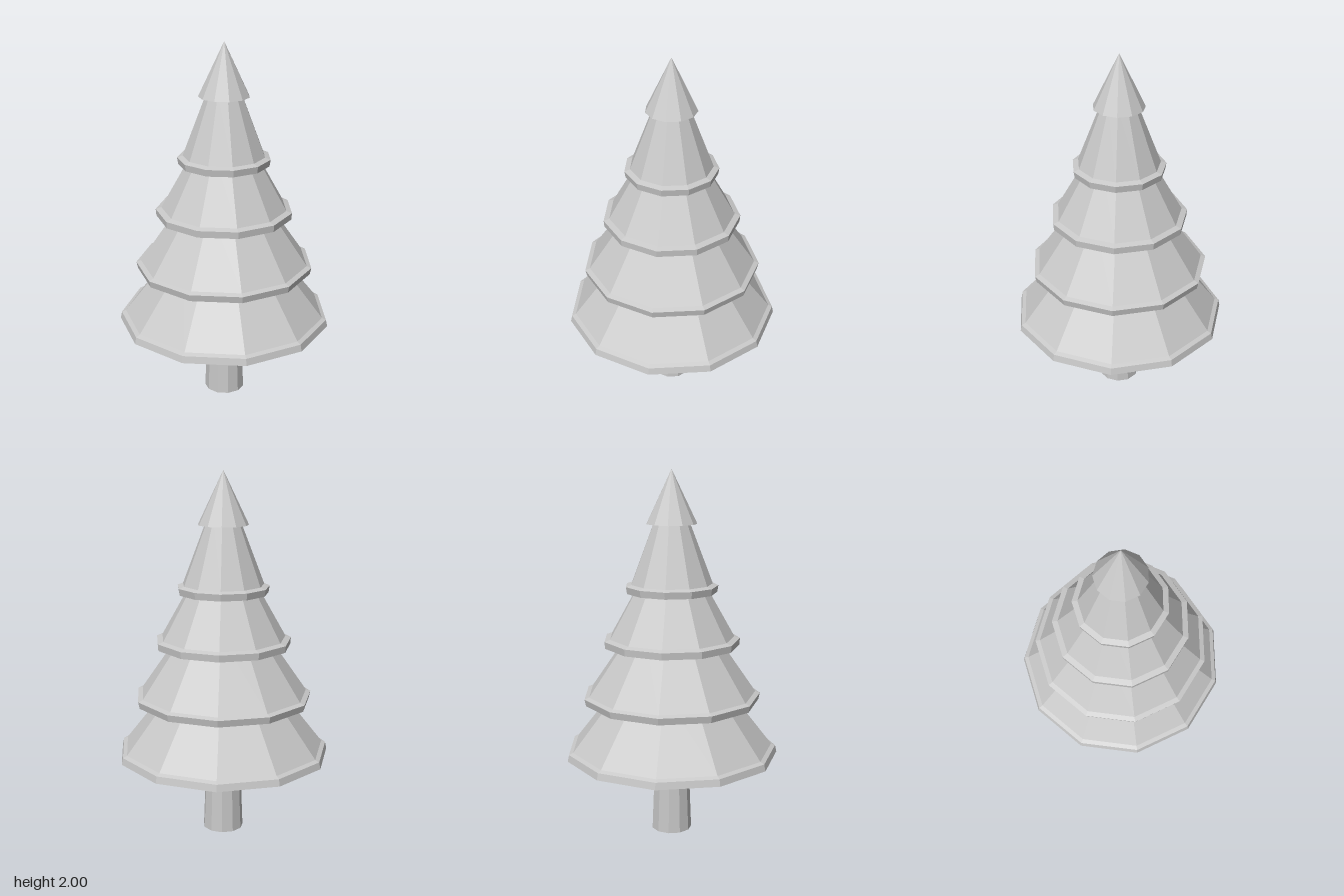
import * as THREE from 'three';

const SIDES = 11;
const CENTRE_X = -0.012; // an odd-sided ring is off-centre by this much

// Faceted solid turned from a profile listed from the underside up the outside
function turned(name, profile, material) {
  const points = profile.map(([r, y]) => new THREE.Vector2(r, y));
  const geometry = new THREE.LatheGeometry(points, SIDES, Math.PI / 2).toNonIndexed();
  geometry.computeVertexNormals();
  const mesh = new THREE.Mesh(geometry, material);
  mesh.name = name;
  return mesh;
}

export function createModel() {
  const grey = new THREE.MeshStandardMaterial({ color: 0xc8c8c8 });
  grey.name = 'light grey';

  const tree = new THREE.Group();
  tree.name = 'pineTree';
  tree.position.x = CENTRE_X;

  // Tapered trunk
  tree.add(turned('trunk', [[0, 0], [0.112, 0], [0.088, 0.615], [0, 0.615]], grey));

  // Branch tiers: hollow underside, lip with a narrow ledge, then a sloping cone
  const tiers = [
    { base: 0.445, edge: 0.588, rim: 0.58, inner: 0.557, topY: 0.75, topR: 0.355 },
    { base: 0.75, edge: 0.48, rim: 0.488, inner: 0.462, topY: 1.06, topR: 0.28 },
    { base: 1.06, edge: 0.37, rim: 0.373, inner: 0.342, topY: 1.35, topR: 0.205 },
    { base: 1.35, edge: 0.246, rim: 0.252, inner: 0.222, topY: 1.715, topR: 0.1 },
  ];
  tiers.forEach(({ base, edge, rim, inner, topY, topR }, i) => {
    const ledge = base + 0.047;
    // carry the cone on into the tier above
    const extra = i === 3 ? 0.03 : 0.1;
    const endR = topR - (inner - topR) / (topY - ledge) * extra;
    tree.add(turned('branchTier' + (i + 1), [
      [0, base + 0.035 + 0.258 * inner],
      [inner, base + 0.035],
      [edge, base],
      [rim, base + 0.037],
      [inner, ledge],
      [endR, topY + extra],
    ], grey));
  });

  // Pointed crown
  tree.add(turned('treeTop', [[0, 1.73], [0.137, 1.715], [0, 2]], grey));

  const model = new THREE.Group();
  model.name = 'tree';
  model.add(tree);
  return model;
}
